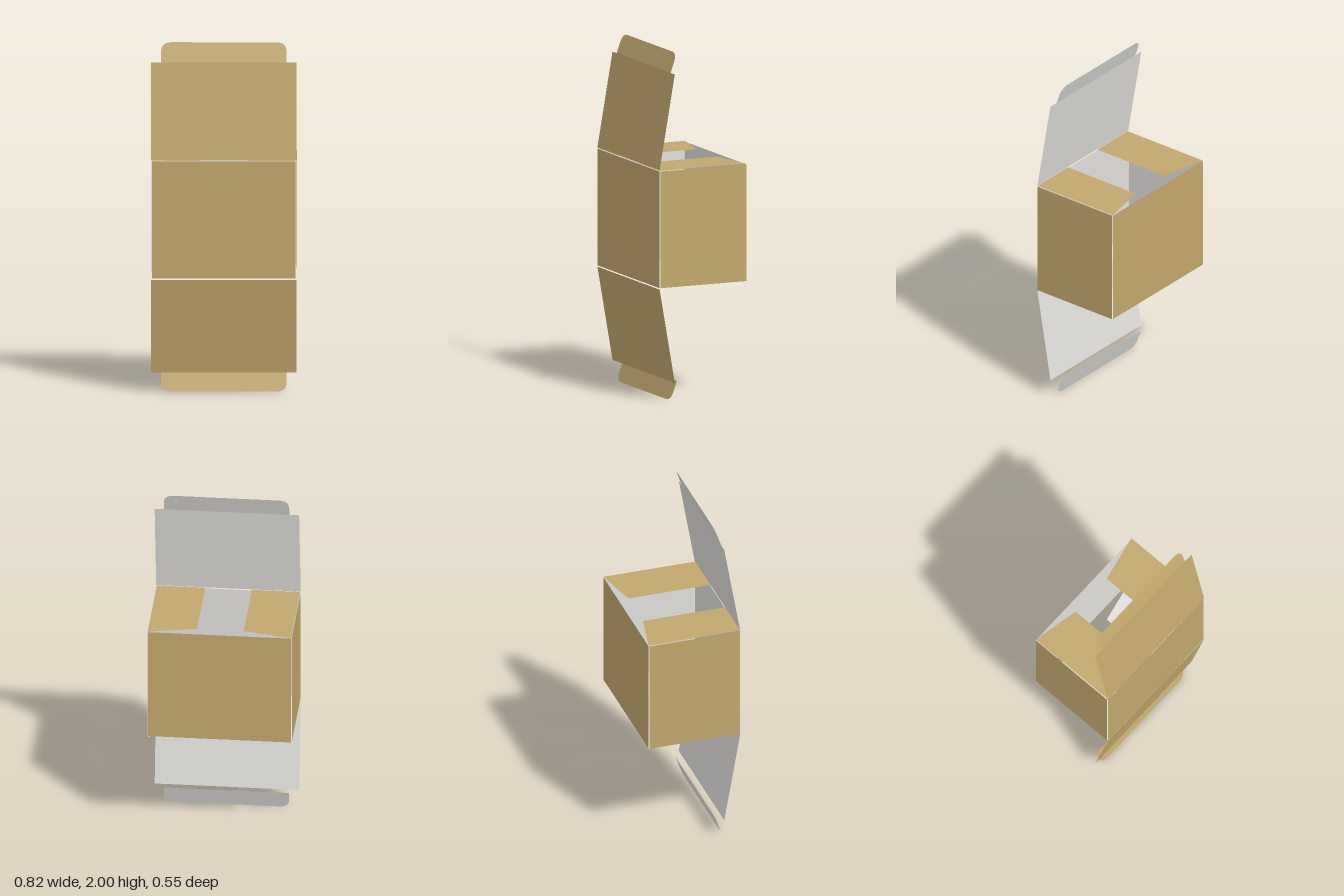
import * as THREE from 'three';

const kraft = new THREE.MeshStandardMaterial({ color: 0xc2a76d });
kraft.name = 'kraft cardboard';
const lining = new THREE.MeshStandardMaterial({ color: 0xe0dfdb });
lining.name = 'pale lining';

// Box extents and the small crease left open between panels
const X = 0.412, Z = 0.274, BOTTOM = 0.66, TOP = 1.34, CREASE = 0.004;
const MID = (TOP + BOTTOM) / 2, H = TOP - BOTTOM;

// Card sheet: kraft outside facing +z, lining just behind facing -z
function sheet(name, shape, position, rotation = [0, 0, 0]) {
  const outer = new THREE.ShapeGeometry(shape, 10);
  const inner = outer.clone();
  const index = inner.index.array;
  for (let i = 0; i < index.length; i += 3) {
    [index[i], index[i + 1]] = [index[i + 1], index[i]];
  }
  inner.computeVertexNormals();
  inner.translate(0, 0, -0.002);
  const group = new THREE.Group();
  group.name = name;
  const outside = new THREE.Mesh(outer, kraft);
  outside.name = name + 'Outside';
  const inside = new THREE.Mesh(inner, lining);
  inside.name = name + 'Inside';
  group.add(outside, inside);
  group.position.set(...position);
  group.rotation.set(...rotation);
  return group;
}

const polygon = (points) => new THREE.Shape(points.map(([x, y]) => new THREE.Vector2(x, y)));

const rectangle = (x0, y0, x1, y1) => polygon([[x0, y0], [x1, y0], [x1, y1], [x0, y1]]);

const centred = (w, h) => rectangle(-w / 2, -h / 2, w / 2, h / 2);

// Tuck tab with two rounded free corners; s = 1 points up, -1 points down
function tuckShape(halfWidth, length, s) {
  const r = 0.06;
  const shape = new THREE.Shape();
  shape.moveTo(-halfWidth, 0);
  shape.lineTo(halfWidth, 0);
  shape.lineTo(halfWidth, s * (length - r));
  shape.quadraticCurveTo(halfWidth, s * length, halfWidth - r, s * length);
  shape.lineTo(-halfWidth + r, s * length);
  shape.quadraticCurveTo(-halfWidth, s * length, -halfWidth, s * (length - r));
  shape.closePath();
  return shape;
}

export function createModel() {
  const model = new THREE.Group();
  model.name = 'openCarton';

  // Four walls
  const wide = centred(2 * (X - CREASE), H - 2 * CREASE);
  const narrow = centred(2 * (Z - CREASE), H - 2 * CREASE);
  model.add(
    sheet('frontWall', wide, [0, MID, Z]),
    sheet('backWall', wide, [0, MID, -Z], [0, Math.PI, 0]),
    sheet('leftWall', narrow, [X, MID, 0], [0, Math.PI / 2, 0]),
    sheet('rightWall', narrow, [-X, MID, 0], [0, -Math.PI / 2, 0])
  );

  // Folded dust flaps, tapered along the back edge
  for (const s of [1, -1]) {
    for (const level of ['upper', 'lower']) {
      const up = level === 'upper' ? 1 : -1;
      const corners = [[X - CREASE, Z], [0.133, 0.217], [0.133, -Z], [X - CREASE, -Z]];
      const shape = polygon(corners.map(([x, back]) => [s * x, up * back]));
      model.add(sheet(
        level + (s > 0 ? 'Left' : 'Right') + 'DustFlap', shape,
        [0, up > 0 ? TOP : BOTTOM, 0], [-up * Math.PI / 2, 0, 0]
      ));
    }
  }

  // Large open lids hinged on the front wall
  const lidLength = Math.hypot(0.545, 0.095), lidTilt = Math.atan2(0.095, 0.545);
  model.add(
    sheet('upperLid', rectangle(-X, 0, X, lidLength), [0, TOP + CREASE, Z], [-lidTilt, 0, 0]),
    sheet('lowerLid', rectangle(-X, -lidLength, X, 0), [0, BOTTOM - CREASE, Z], [lidTilt, 0, 0])
  );

  // Tuck tabs at the ends of the lids
  const tabLength = Math.hypot(0.111, 0.039), tabTilt = Math.atan2(0.039, 0.111);
  model.add(
    sheet('upperTuckTab', tuckShape(0.357, tabLength, 1), [0, 1.889, 0.179], [-tabTilt, 0, 0]),
    sheet('lowerTuckTab', tuckShape(0.357, tabLength, -1), [0, 0.111, 0.14], [-tabTilt, 0, 0])
  );

  return model;
}
